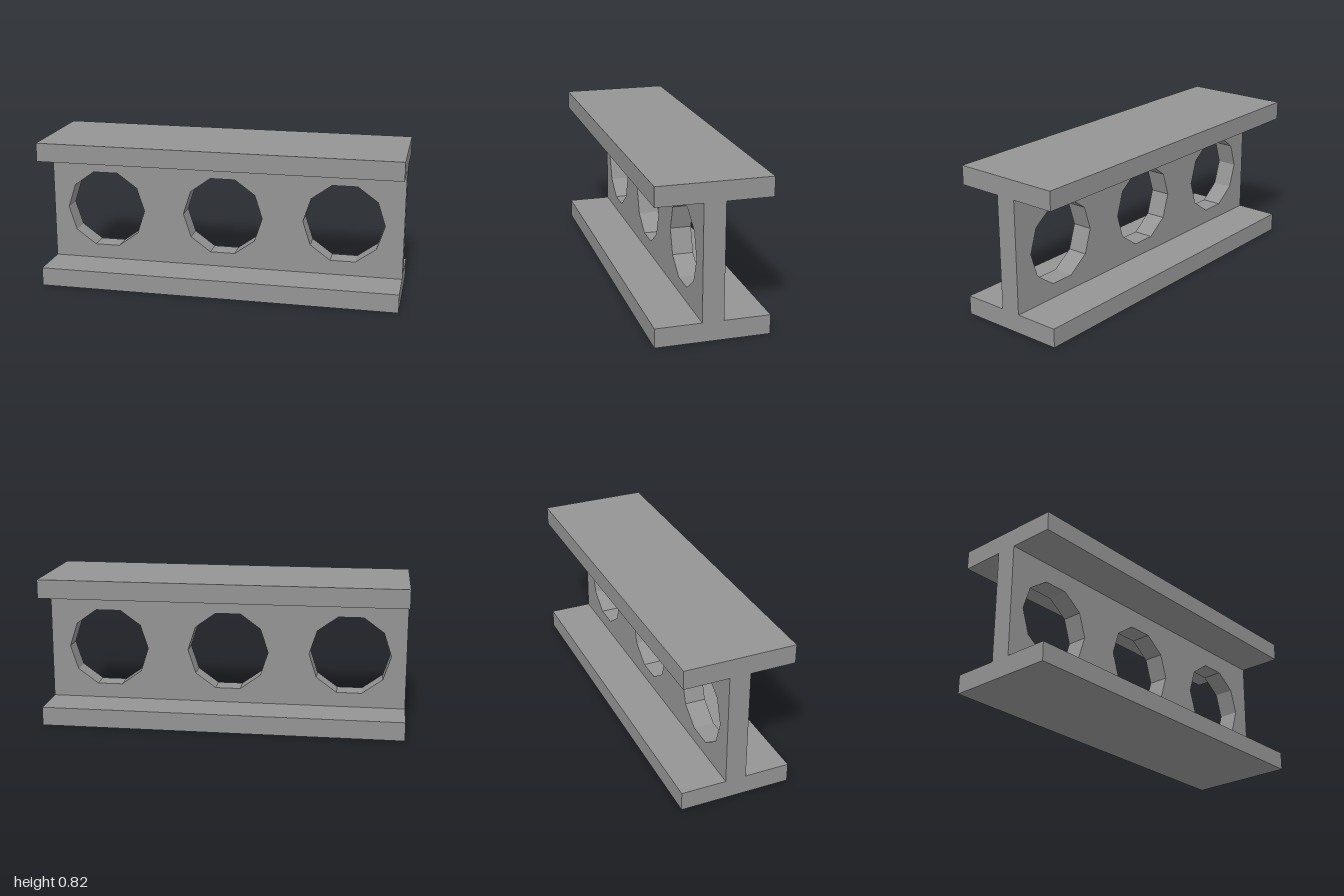
import * as THREE from 'three';

const LENGTH = 2, DEPTH = 0.6, HEIGHT = 0.825;
const FLANGE = 0.103, WEB = 0.113;
const HOLE_RADIUS = 0.226, HOLE_Y = 0.399, HOLE_SIDES = 10;
const HOLE_XS = [-0.69, -0.01, 0.67];

export function createModel() {
  const beam = new THREE.Group();
  beam.name = 'beam';
  const material = new THREE.MeshStandardMaterial({ color: 0x949494, flatShading: true });

  const add = (name, geometry, y, z) => {
    const mesh = new THREE.Mesh(geometry, material);
    mesh.name = name;
    mesh.position.set(0, y, z);
    beam.add(mesh);
  };

  // Flat flanges along the bottom and top
  const flange = new THREE.BoxGeometry(LENGTH, FLANGE, DEPTH);
  add('bottomFlange', flange, FLANGE / 2, 0);
  add('topFlange', flange, HEIGHT - FLANGE / 2, 0);

  // Upright web outline between the flanges
  const x = LENGTH / 2, low = FLANGE, high = HEIGHT - FLANGE;
  const outline = new THREE.Shape([
    new THREE.Vector2(-x, low), new THREE.Vector2(x, low),
    new THREE.Vector2(x, high), new THREE.Vector2(-x, high),
  ]);

  // Ten-sided holes through the web
  for (const cx of HOLE_XS) {
    const points = [];
    for (let i = 0; i < HOLE_SIDES; i++) {
      const a = -i / HOLE_SIDES * Math.PI * 2;
      points.push(new THREE.Vector2(cx + HOLE_RADIUS * Math.cos(a), HOLE_Y + HOLE_RADIUS * Math.sin(a)));
    }
    outline.holes.push(new THREE.Path(points));
  }
  add('web', new THREE.ExtrudeGeometry(outline, { depth: WEB, bevelEnabled: false }), 0, -WEB / 2);

  return beam;
}
